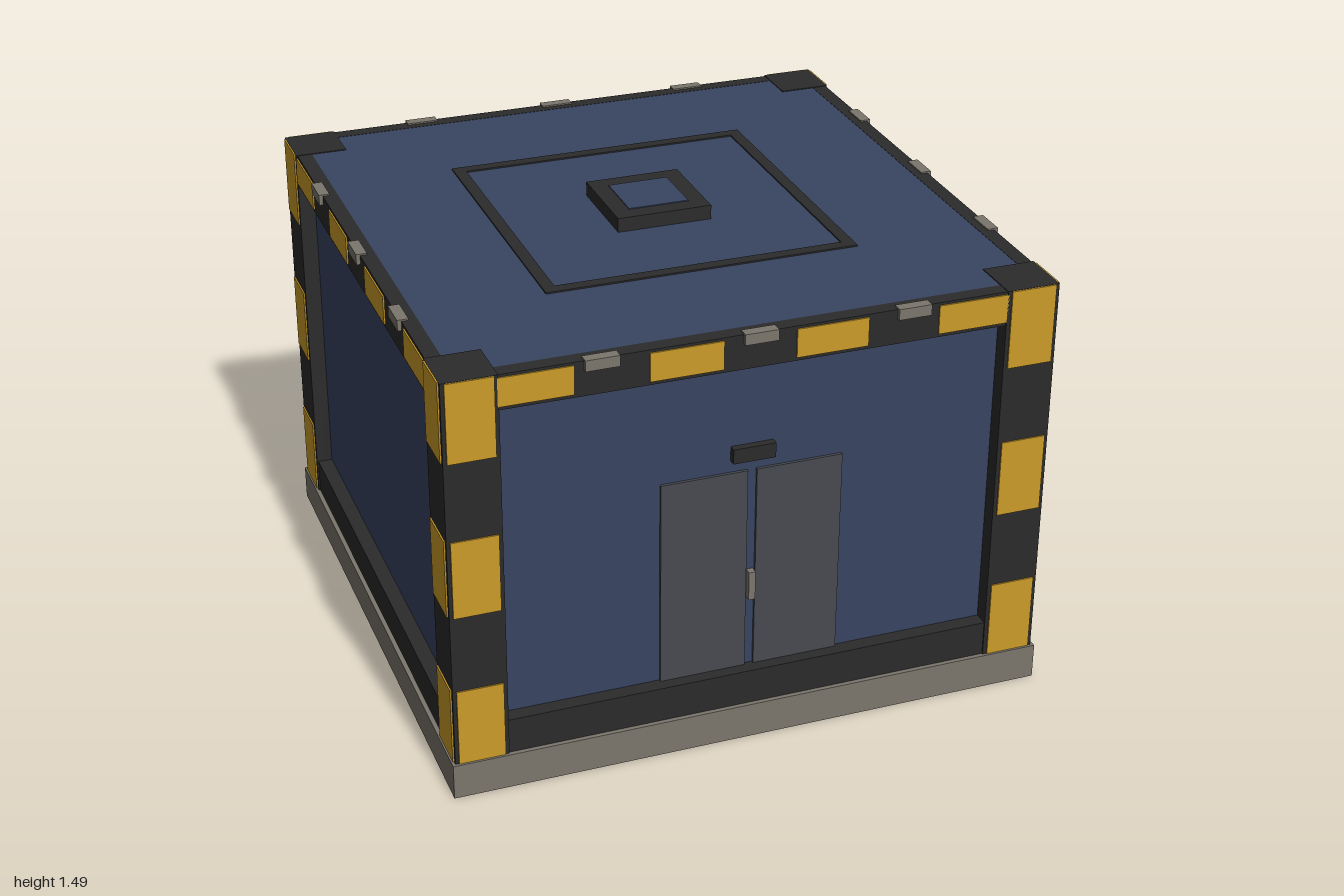
import * as THREE from 'three';

const mat = (name, color) => {
  const m = new THREE.MeshStandardMaterial({ color });
  m.name = name;
  return m;
};

export function createModel() {
  const blue = mat('navy panel', 0x384460);
  const black = mat('black steel', 0x2b2b2b);
  const yellow = mat('hazard yellow', 0xcb9b29);
  const grey = mat('concrete grey', 0x7b766c);
  const door = mat('door grey', 0x474a50);

  const model = new THREE.Group();
  model.name = 'utilityBuilding';

  // Box given by its extents on each axis
  const box = (parent, name, material, [x0, x1], [y0, y1], [z0, z1]) => {
    const mesh = new THREE.Mesh(new THREE.BoxGeometry(x1 - x0, y1 - y0, z1 - z0), material);
    mesh.position.set((x0 + x1) / 2, (y0 + y1) / 2, (z0 + z1) / 2);
    mesh.name = name;
    parent.add(mesh);
    return mesh;
  };

  // Foundation and body
  box(model, 'foundation', grey, [-1, 1], [0, 0.12], [-1, 1]);
  box(model, 'body', blue, [-0.935, 0.935], [0.12, 1.44], [-0.935, 0.935]);

  // Corner posts
  for (const sx of [-1, 1]) for (const sz of [-1, 1]) {
    const post = box(model, 'cornerPost', black, [0.815, 0.99], [0.12, 1.443], [0.815, 0.99]);
    post.position.x *= sx;
    post.position.z *= sz;
  }

  // Each side is built facing +z, then turned: front, right, back, left
  const sides = ['front', 'right', 'back', 'left'].map((name, i) => {
    const side = new THREE.Group();
    side.name = name + 'Side';
    side.rotation.y = i * Math.PI / 2;
    model.add(side);

    box(side, 'lowerBeam', black, [-0.815, 0.815], [0.12, 0.24], [0.93, 0.985]);
    box(side, 'upperBeam', black, [-0.815, 0.815], [1.325, 1.441], [0.935, 0.985]);

    // Hazard stripes on the posts
    for (const sx of [-1, 1]) for (let k = 0; k < 3; k++) {
      const y = 0.122 + k * 0.528;
      const stripe = box(side, 'postStripe', yellow, [0.828, 0.978], [y, y + 0.264], [0.988, 0.995]);
      stripe.position.x *= sx;
    }
    // Hazard stripes on the upper beam
    for (let k = 0; k < 4; k++) {
      const x = -0.819 + k * 0.468;
      box(side, 'beamStripe', yellow, [x, x + 0.234], [1.337, 1.432], [0.983, 0.99]);
    }
    // Clamps on the roof edge
    for (const x of [-0.5, 0, 0.5]) {
      box(side, 'edgeClamp', grey, [x - 0.054, x + 0.054], [1.41, 1.446], [0.962, 0.998]);
    }
    return side;
  });

  // Double door with handle and lamp housing
  const [front, right] = sides;
  box(front, 'leftDoor', door, [0.015, 0.3], [0.24, 0.95], [0.93, 0.945]);
  box(front, 'rightDoor', door, [-0.3, -0.015], [0.24, 0.95], [0.93, 0.945]);
  box(front, 'doorHandle', grey, [-0.011, 0.011], [0.49, 0.59], [0.93, 0.96]);
  box(front, 'doorLamp', black, [-0.07, 0.07], [0.99, 1.04], [0.93, 0.96]);

  // Vent with slats and service panel on the right (local x is -z)
  box(right, 'ventFrame', black, [-0.46, -0.1], [0.72, 0.97], [0.93, 0.947]);
  for (let k = 0; k < 4; k++) {
    const y = 0.755 + k * 0.06;
    box(right, 'ventSlat', door, [-0.45, -0.11], [y - 0.009, y + 0.009], [0.94, 0.953]);
  }
  box(right, 'servicePanel', grey, [0.22, 0.46], [0.52, 0.68], [0.93, 0.947]);

  // Square outline on the roof
  const outline = new THREE.Group();
  outline.name = 'roofOutline';
  model.add(outline);
  for (const s of [-0.5, 0.5]) {
    box(outline, 'outlineBar', black, [-0.52, 0.52], [1.438, 1.445], [s - 0.02, s + 0.02]);
    box(outline, 'outlineBar', black, [s - 0.02, s + 0.02], [1.438, 1.445], [-0.48, 0.48]);
  }

  // Roof hatch
  box(model, 'hatch', black, [-0.16, 0.16], [1.44, 1.488], [-0.16, 0.16]);
  box(model, 'hatchPanel', blue, [-0.102, 0.102], [1.485, 1.491], [-0.102, 0.102]);

  return model;
}
